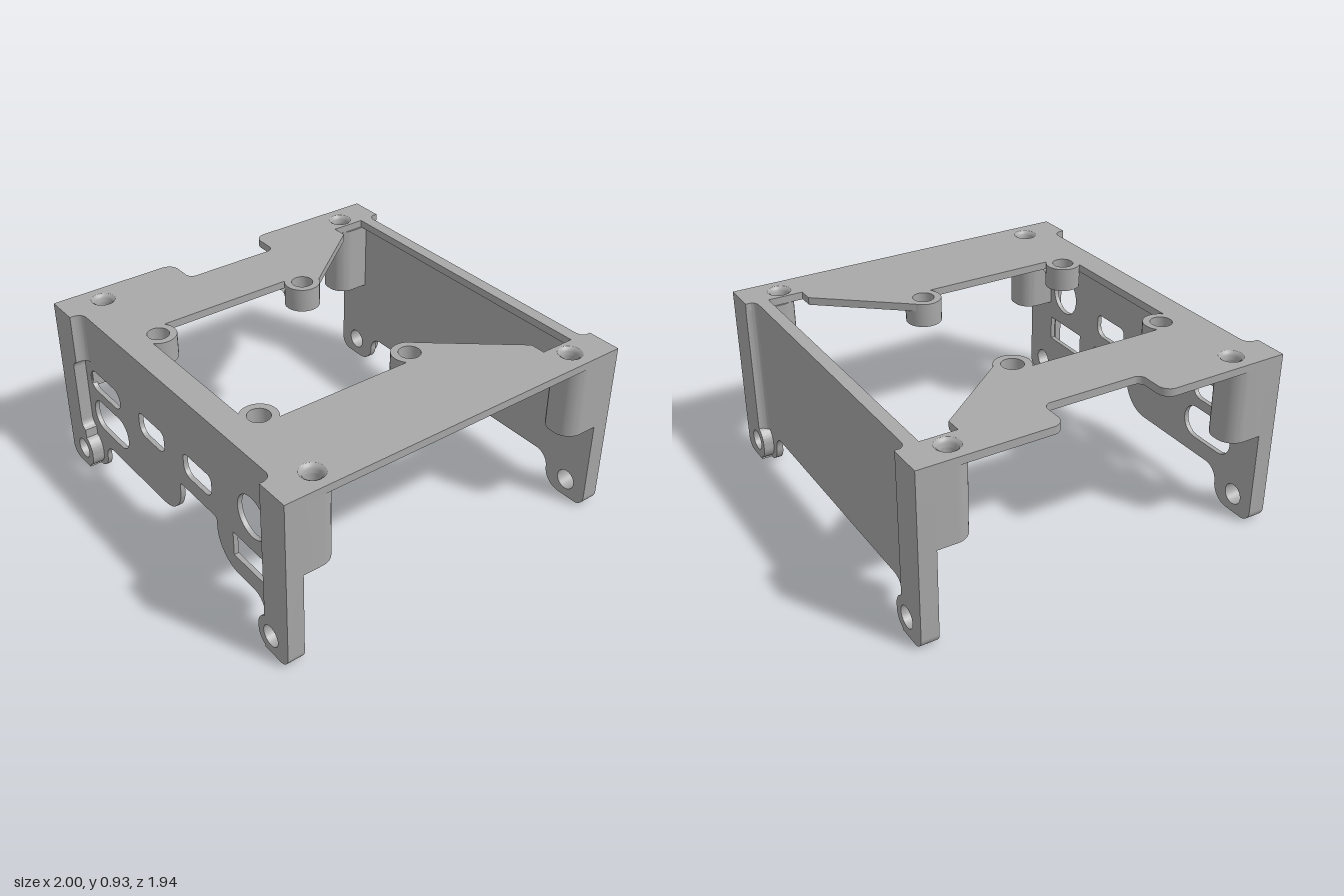
import * as THREE from 'three';
import { toCreasedNormals } from 'three/addons/utils/BufferGeometryUtils.js';

const grey = new THREE.MeshStandardMaterial({ color: 0xa8a8a8, side: THREE.DoubleSide });
grey.name = 'plain grey';

const TOP = 0.925, UNDER = 0.885;

// Closed outline through [x, y, cornerRadius] points
function outline(pts, path = new THREE.Shape(), mirror = 1) {
  const P = pts.map(([x, y, r = 0]) => ({ v: new THREE.Vector2(x * mirror, y), r }));
  P.forEach(({ v, r }, i) => {
    const toward = (q, d) => v.clone().add(q.clone().sub(v).setLength(d));
    const a = r ? toward(P[(i + P.length - 1) % P.length].v, r) : v;
    if (i === 0) path.moveTo(a.x, a.y);
    else path.lineTo(a.x, a.y);
    if (!r) return;
    const b = toward(P[(i + 1) % P.length].v, r);
    const c1 = a.clone().lerp(v, 0.55), c2 = b.clone().lerp(v, 0.55);
    path.bezierCurveTo(c1.x, c1.y, c2.x, c2.y, b.x, b.y);
  });
  path.closePath();
  return path;
}
const hole = (pts) => outline(pts, new THREE.Path());
const circle = (x, y, r) => new THREE.Path().absarc(x, y, r, 0, Math.PI * 2);
const box = (x0, x1, y0, y1, top = 0, bottom = top) =>
  hole([[x0, y0, bottom], [x1, y0, bottom], [x1, y1, top], [x0, y1, top]]);

const extrude = (shape, depth) => toCreasedNormals(
  new THREE.ExtrudeGeometry(shape, { depth, bevelEnabled: false, curveSegments: 14 }), 0.6);

export function createModel() {
  const group = new THREE.Group();
  const add = (name, geometry) => {
    const mesh = new THREE.Mesh(geometry, grey);
    mesh.name = name;
    group.add(mesh);
  };
  // Shape drawn in x, y and pushed out from z0 to z1
  const upright = (name, shape, z0, z1) => add(name, extrude(shape, z1 - z0).translate(0, 0, z0));
  // Shape drawn in x, z and filled between two heights
  const flat = (name, shape, y0, y1) =>
    add(name, extrude(shape, y1 - y0).rotateX(Math.PI / 2).translate(0, y1, 0));

  // Top plate with side notch, recessed front and back edges
  const plate = outline([
    [-1, -0.97], [-0.82, -0.97], [-0.82, -0.915], [0.82, -0.915], [0.82, -0.97], [1, -0.97],
    [1, 0.97], [0.825, 0.97], [0.825, 0.905], [-0.825, 0.905], [-0.825, 0.97], [-1, 0.97],
    [-1, 0.28, 0.06], [-0.82, 0.28, 0.04], [-0.82, -0.25, 0.04], [-1, -0.25, 0.06],
  ]);
  // Central opening, wrapping round the rear bosses
  const opening = new THREE.Path();
  opening.moveTo(-0.81, -0.85);
  opening.lineTo(0.81, -0.85);
  opening.lineTo(0.81, -0.665);
  opening.lineTo(0.73, -0.665);
  opening.lineTo(0.36, -0.215);
  opening.absarc(0.43, -0.16, 0.075, -2.48, 0.86, false);
  opening.lineTo(0.49, -0.09);
  opening.lineTo(0.49, 0.765);
  opening.lineTo(-0.49, 0.765);
  opening.lineTo(-0.49, -0.09);
  opening.absarc(-0.43, -0.16, 0.075, Math.PI - 0.86, Math.PI + 2.48, false);
  opening.lineTo(-0.73, -0.665);
  opening.lineTo(-0.81, -0.665);
  opening.closePath();
  plate.holes.push(opening);
  for (const s of [-1, 1]) for (const z of [-0.76, 0.75]) plate.holes.push(circle(s * 0.89, z, 0.062));
  flat('topPlate', plate, UNDER, TOP);

  // Front and back walls, with a foot at each end
  const foot = [[-1, TOP], [-1, 0, 0.06], [-0.73, 0, 0.099], [-0.73, 0.18, 0.08]];
  const mirrored = foot.map(([x, y, r]) => [-x, y, r]).reverse();
  const cableArch = [[0.04, 0.18, 0.17], [0.04, 0.405, 0.02], [0.36, 0.405, 0.02], [0.36, 0.18, 0.17]];
  const front = outline([...foot, ...cableArch, ...mirrored]);
  const back = outline([...foot, ...mirrored]);
  for (const wall of [front, back]) for (const s of [-1, 1]) wall.holes.push(circle(s * 0.87, 0.1, 0.055));
  front.holes.push(
    box(-0.81, -0.51, 0.5, 0.615, 0.056),
    box(-0.81, -0.46, 0.27, 0.445, 0.085),
    box(-0.32, -0.085, 0.49, 0.615, 0.03, 0.055),
    box(0.09, 0.33, 0.49, 0.615, 0.03, 0.055),
    circle(0.655, 0.6, 0.11),
    box(0.495, 0.79, 0.275, 0.41),
  );
  upright('frontWall', front, 0.88, 0.905);
  upright('backWall', back, -0.915, -0.88);

  for (const s of [-1, 1]) {
    const side = s < 0 ? 'right' : 'left';
    for (const f of [-1, 1]) {
      const end = f < 0 ? 'Back' : 'Front';
      const relieved = s < 0 && f > 0;

      // Thick corner leg, swelling round its screw hole
      const relief = [[-0.825, 0.24], [-0.86, 0.255, 0.03], [-0.86, 0.645, 0.03], [-0.825, 0.66]];
      const leg = outline([
        [-1, TOP], [-1, 0, 0.06], [-0.825, 0], [-0.825, 0.012], [-0.775, 0.035, 0.05],
        [-0.775, 0.165, 0.05], [-0.825, 0.19], ...(relieved ? relief : []), [-0.825, TOP],
      ], new THREE.Shape(), -s);
      leg.holes.push(circle(s * 0.87, 0.1, 0.055));
      upright(side + end + 'Leg', leg, f < 0 ? -0.97 : 0.88, f < 0 ? -0.88 : 0.97);

      // Fillet between leg and wall
      const w = f < 0 ? 0.915 : 0.905;
      const fillet = new THREE.Shape();
      fillet.moveTo(s * 0.825, f * w);
      fillet.lineTo(s * 0.78, f * w);
      fillet.quadraticCurveTo(s * 0.82, f * (w + 0.005), s * 0.825, f * (w + 0.045));
      fillet.closePath();
      flat(side + end + 'Fillet', fillet, relieved ? 0.66 : 0.185, TOP);

      // Screw post behind the leg
      const holeZ = f < 0 ? -0.76 : 0.75;
      const post = outline([
        [s * 0.8, f * 0.9], [s, f * 0.9], [s, f * 0.69, 0.09], [s * 0.8, f * 0.69, 0.09],
      ]);
      post.holes.push(circle(s * 0.89, holeZ, 0.04));
      flat(side + end + 'Post', post, 0.505, UNDER);

      // Countersink in the plate
      const sink = [[0.04, UNDER], [0.043, 0.905], [0.05, 0.917], [0.062, TOP]]
        .map(([x, y]) => new THREE.Vector2(x, y));
      add(side + end + 'Countersink', new THREE.LatheGeometry(sink, 28).translate(s * 0.89, 0, holeZ));

      // Hollow mounting boss
      const bossZ = f < 0 ? -0.16 : 0.7;
      const ring = new THREE.Shape().absarc(s * 0.43, bossZ, 0.092, 0, Math.PI * 2);
      ring.holes.push(circle(s * 0.43, bossZ, 0.055));
      flat(side + end + 'Boss', ring, 0.8, TOP);

      // Flare where the boss meets the underside of the plate
      const flare = [[0.092, 0.84], [0.097, 0.86], [0.108, 0.876], [0.13, UNDER]]
        .map(([x, y]) => new THREE.Vector2(x, y));
      const [p0, p1] = f < 0 ? [0.2, 0.95] : [0.05, 0.75];
      const start = s > 0 ? p0 : -p1;
      add(side + end + 'BossFlare', new THREE.LatheGeometry(flare, 16, start * Math.PI, (p1 - p0) * Math.PI)
        .translate(s * 0.43, 0, bossZ));
    }
  }
  return group;
}
